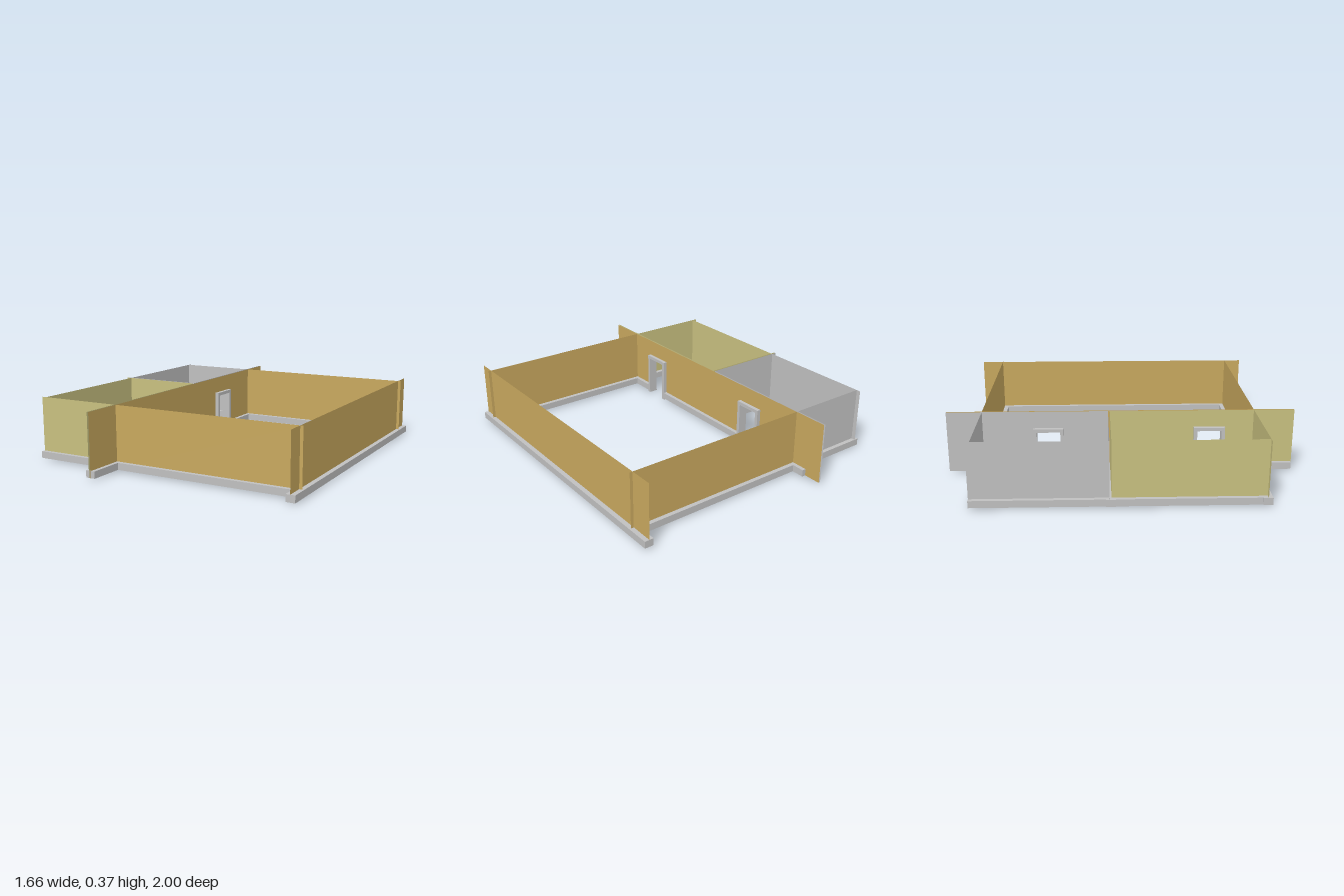
import * as THREE from 'three';

const FLOOR = 0.01, SILL = 0.05, TOP = 0.37, HEAD = 0.27;
const DOORS = [[-0.505, -0.33], [0.42, 0.60]]; // z ranges of the doorways
const JAMB = 0.02;

function material(name, color) {
  const m = new THREE.MeshStandardMaterial({ color, side: THREE.DoubleSide });
  m.name = name;
  return m;
}

export function createModel() {
  const model = new THREE.Group();
  model.name = 'floorPlan';
  const ochre = material('ochre', 0xc8a85e);
  const olive = material('olive', 0xc8c080);
  const grey = material('grey', 0xc0c0c0);

  const add = (parent, name, geometry, mat) => {
    const mesh = new THREE.Mesh(geometry, mat);
    mesh.name = name;
    parent.add(mesh);
    return mesh;
  };
  const box = (parent, name, x0, x1, y0, y1, z0, z1) =>
    add(parent, name, new THREE.BoxGeometry(x1 - x0, y1 - y0, z1 - z0), grey)
      .position.set((x0 + x1) / 2, (y0 + y1) / 2, (z0 + z1) / 2);

  // Foundation beams
  const foundation = new THREE.Group();
  foundation.name = 'foundation';
  model.add(foundation);
  const beam = (name, x0, x1, z0, z1) => box(foundation, name, x0, x1, FLOOR, SILL, z0, z1);
  beam('rightRoomOuterBeam', 0.775, 0.827, -0.93, 0.87);
  beam('outerBeam', -0.825, -0.773, -0.82, 0.79);
  for (const [x0, x1] of [[-0.773, -0.338], [-0.282, 0.775]]) {
    beam('backBeam', x0, x1, -0.82, -0.768);
    beam('frontBeam', x0, x1, 0.738, 0.79);
  }
  beam('crossBeam', -0.773, -0.338, -0.095, -0.043);
  beam('crossBeamEnd', -0.831, -0.825, -0.095, -0.043);
  beam('frontBeamEnd', -0.831, -0.825, 0.738, 0.79);

  // Middle beam, interrupted at the doorways
  const stops = [-0.895, ...DOORS.flat(), 0.995];
  for (let i = 0; i < stops.length; i += 2) {
    beam('middleBeam', -0.338, -0.282, stops[i], stops[i + 1]);
  }

  // Door frames
  for (const [z0, z1] of DOORS) {
    const frame = new THREE.Group();
    frame.name = 'doorFrame';
    model.add(frame);
    box(frame, 'jamb', -0.338, -0.282, 0, HEAD, z0, z0 + JAMB);
    box(frame, 'jamb', -0.338, -0.282, 0, HEAD, z1 - JAMB, z1);
    box(frame, 'lintel', -0.338, -0.282, HEAD - JAMB, HEAD, z0 + JAMB, z1 - JAMB);
  }

  // Thin wall sheets; those along z may be notched by doorways
  const sheetX = (name, x0, x1, z, mat) =>
    add(model, name, new THREE.PlaneGeometry(x1 - x0, TOP - FLOOR), mat)
      .position.set((x0 + x1) / 2, (TOP + FLOOR) / 2, z);
  const sheetZ = (name, z0, z1, x, mat, doors = []) => {
    const s = new THREE.Shape();
    s.moveTo(z0, FLOOR);
    for (const [a, b] of doors) {
      s.lineTo(a, FLOOR);
      s.lineTo(a, HEAD);
      s.lineTo(b, HEAD);
      s.lineTo(b, FLOOR);
    }
    s.lineTo(z1, FLOOR);
    s.lineTo(z1, TOP);
    s.lineTo(z0, TOP);
    const g = new THREE.ShapeGeometry(s);
    g.rotateY(-Math.PI / 2); // shape x becomes z
    add(model, name, g, mat).position.x = x;
  };

  // Large room
  sheetX('largeRoomFrontWall', -0.305, 0.817, 0.765, ochre);
  sheetX('largeRoomBackWall', -0.305, 0.817, -0.795, ochre);
  sheetZ('largeRoomOuterWall', -0.93, 0.87, 0.80, ochre);
  sheetZ('largeRoomMiddleWall', -1, 1, -0.305, ochre, DOORS);

  // Small front room
  sheetX('frontRoomFrontWall', -0.83, -0.315, 0.765, olive);
  sheetX('frontRoomCrossWall', -0.83, -0.315, -0.065, olive);
  sheetZ('frontRoomOuterWall', -0.065, 0.765, -0.80, olive);
  sheetZ('frontRoomMiddleWall', -0.065, 1, -0.315, olive, [DOORS[1]]);

  // Small back room
  sheetX('backRoomBackWall', -0.80, -0.315, -0.795, grey);
  sheetX('backRoomCrossWall', -0.83, -0.315, -0.075, grey);
  sheetZ('backRoomOuterWall', -0.82, -0.075, -0.80, grey);
  sheetZ('backRoomMiddleWall', -1, -0.075, -0.315, grey, [DOORS[0]]);

  return model;
}
